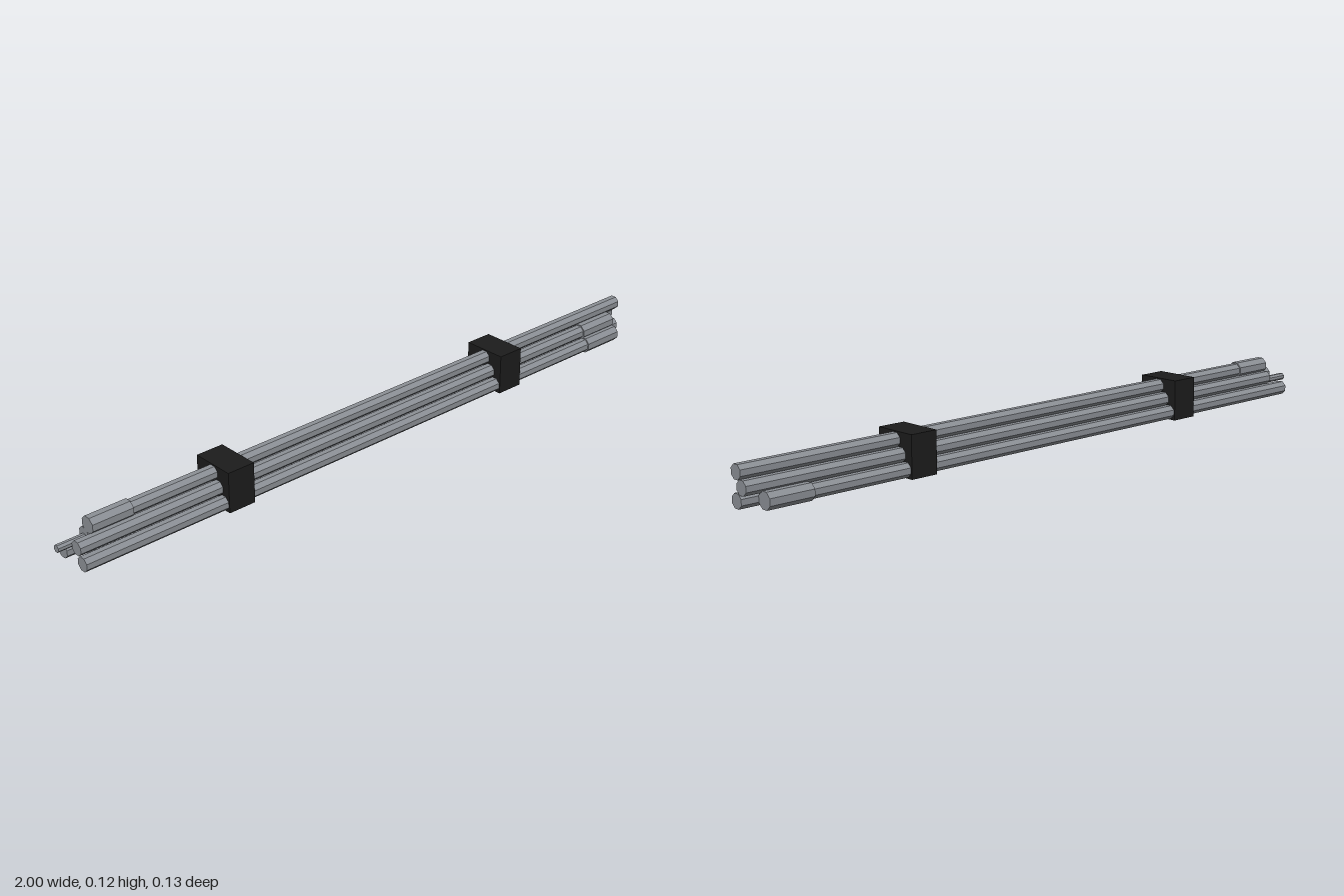
import * as THREE from 'three';

export function createModel() {
  const group = new THREE.Group();
  const steel = new THREE.MeshStandardMaterial({ color: 0x8c9096, flatShading: true });
  steel.name = 'pipeGrey';
  const black = new THREE.MeshStandardMaterial({ color: 0x1c1c1c, flatShading: true });
  black.name = 'strapBlack';

  // Eight-sided rod along x, flat side up
  function rod(name, x0, x1, radius) {
    const geo = new THREE.CylinderGeometry(radius, radius, x1 - x0, 8);
    geo.rotateY(Math.PI / 8);
    geo.rotateZ(Math.PI / 2);
    const mesh = new THREE.Mesh(geo, steel);
    mesh.name = name;
    mesh.position.x = (x0 + x1) / 2;
    return mesh;
  }

  // Stack of six pipes: each is shifted to one end, with a wider collar or a thin spigot
  const pipes = [
    { name: 'bottomFrontPipe', y: 0.0225, z: 0.042, flipped: false, end: 'collar' },
    { name: 'bottomMiddlePipe', y: 0.0225, z: 0, flipped: true, end: 'collar' },
    { name: 'bottomBackPipe', y: 0.0225, z: -0.042, flipped: false, end: 'collar' },
    { name: 'middleFrontPipe', y: 0.058, z: 0.021, flipped: false, end: 'collar' },
    { name: 'middleBackPipe', y: 0.058, z: -0.021, flipped: true, end: 'spigot' },
    { name: 'topPipe', y: 0.0935, z: 0, flipped: true, end: 'collar' },
  ];
  for (const p of pipes) {
    const pipe = new THREE.Group();
    pipe.name = p.name;
    pipe.position.set(0, p.y, p.z);
    const x0 = p.flipped ? -0.92 : -0.97;
    const x1 = p.flipped ? 1.0 : 0.95;
    pipe.add(rod('tube', x0, x1, 0.0205));
    if (p.end === 'spigot') {
      const spigot = rod('spigot', -1.0, x0 + 0.02, 0.0105);
      spigot.position.y = -0.008;
      pipe.add(spigot);
    } else {
      pipe.add(p.flipped
        ? rod('collar', x0 - 0.001, -0.8, 0.0243)
        : rod('collar', 0.82, x1 + 0.001, 0.0243));
    }
    group.add(pipe);
  }

  // Two solid straps around the bundle
  for (const [name, x] of [['rightStrap', -0.5], ['leftStrap', 0.48]]) {
    const strap = new THREE.Mesh(new THREE.BoxGeometry(0.082, 0.116, 0.129), black);
    strap.name = name;
    strap.position.set(x, 0.058, 0);
    group.add(strap);
  }
  return group;
}
